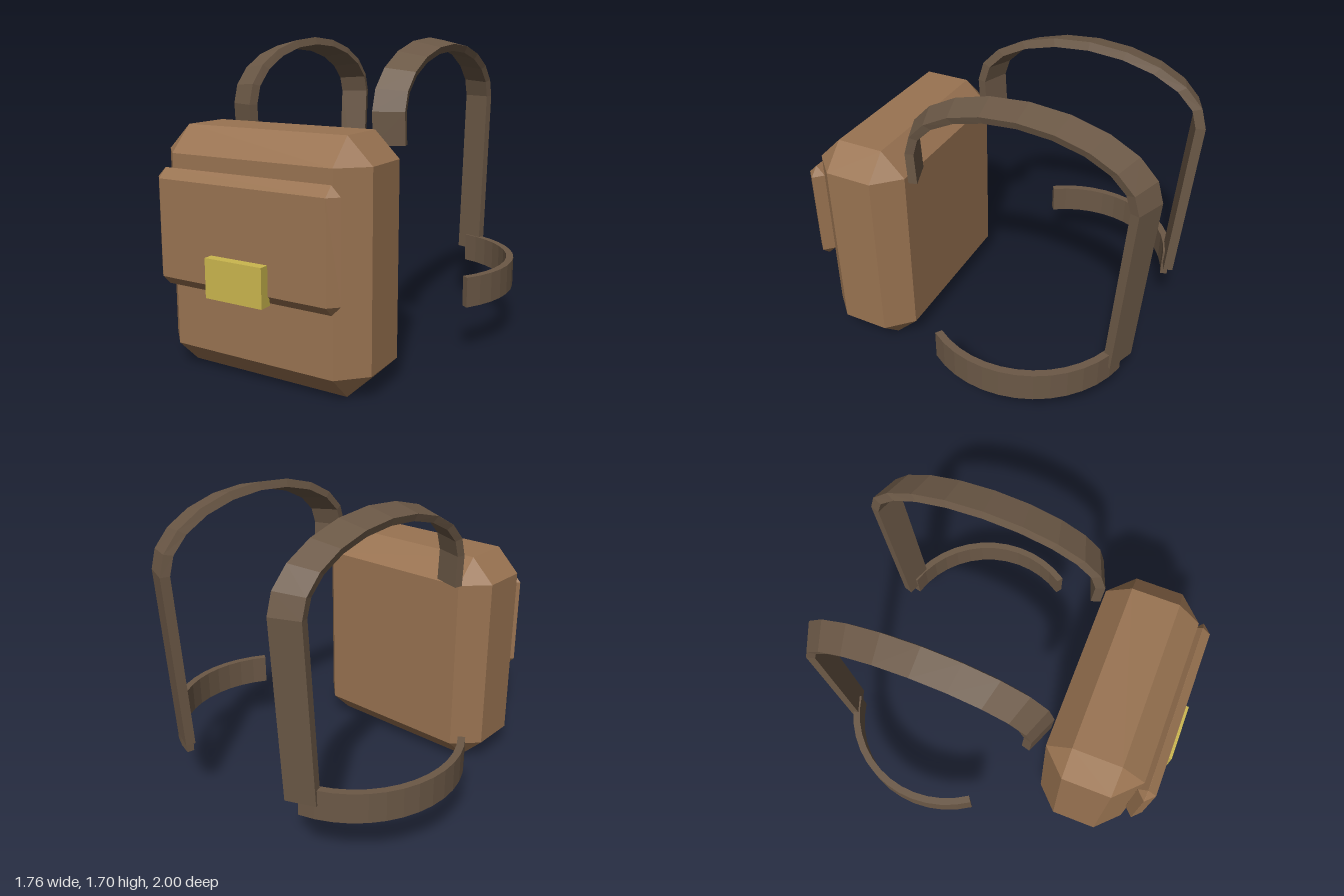
import * as THREE from 'three';
import { ConvexGeometry } from 'three/addons/geometries/ConvexGeometry.js';

// Box with flat chamfers on every edge; centred on the origin
function chamferBox(w, h, d, c) {
  const pts = [];
  for (const x of [-1, 1]) for (const y of [-1, 1]) for (const z of [-1, 1]) {
    const a = w / 2, b = h / 2, e = d / 2;
    pts.push(new THREE.Vector3(x * a, y * (b - c), z * (e - c)));
    pts.push(new THREE.Vector3(x * (a - c), y * b, z * (e - c)));
    pts.push(new THREE.Vector3(x * (a - c), y * (b - c), z * e));
  }
  return new ConvexGeometry(pts);
}

// Capped band through four-cornered rings; side -1 mirrors it in x
function band(rings, side) {
  const pos = [];
  const tri = (a, b, c) => {
    for (const p of side > 0 ? [a, b, c] : [a, c, b]) pos.push(side * p[0], p[1], p[2]);
  };
  const quad = (a, b, c, d) => { tri(a, b, c); tri(a, c, d); };
  for (let i = 0; i < rings.length - 1; i++) {
    for (let j = 0; j < 4; j++) {
      const k = (j + 1) % 4;
      quad(rings[i][j], rings[i][k], rings[i + 1][k], rings[i + 1][j]);
    }
  }
  const s = rings[0], e = rings[rings.length - 1];
  quad(s[3], s[2], s[1], s[0]);
  quad(e[0], e[1], e[2], e[3]);
  const g = new THREE.BufferGeometry();
  g.setAttribute('position', new THREE.Float32BufferAttribute(pos, 3));
  g.computeVertexNormals();
  return g;
}

// Tilted strap section: x, inset along z, inset along y
const strapSection = [[0.378, 0, 0], [0.53, 0.062, 0.035], [0.518, 0.107, 0.073], [0.362, 0.05, 0.043]];

function shoulderStrapRings() {
  const ring = (z, y, c, s) => strapSection.map(([x, dz, dy]) => [x, y - dy * s, z - dz * c]);
  const rings = [ring(0.33, 1.165, 1, 0)];
  for (let i = 0; i <= 10; i++) {
    const t = (i / 10) * Math.PI, c = Math.cos(t), s = Math.sin(t);
    rings.push(ring(-0.33 + 0.67 * c, 1.335 + 0.36 * s, c, s));
  }
  rings.push(ring(-0.94, 0.365, -1, 0));
  return rings;
}

function waistStrapRings() {
  const rings = [], n = 13;
  for (let i = 0; i <= n; i++) {
    const t = THREE.MathUtils.degToRad(-77 + (112 * i) / n);
    rings.push([[0.545, 0.285], [0.585, 0.285], [0.585, 0.45], [0.545, 0.45]].map(
      ([r, y]) => [0.297 + r * Math.cos(t), y, -0.33 + r * Math.sin(t)]));
  }
  return rings;
}

export function createModel() {
  const mat = (name, color) => {
    const m = new THREE.MeshStandardMaterial({ color });
    m.name = name;
    return m;
  };
  const leather = mat('brown leather', 0x997351);
  const strap = mat('dark strap', 0x6b5846);
  const brass = mat('brass', 0xcab64e);

  const group = new THREE.Group();
  group.name = 'backpack';
  const add = (name, geometry, material, x = 0, y = 0, z = 0) => {
    const mesh = new THREE.Mesh(geometry, material);
    mesh.name = name;
    mesh.position.set(x, y, z);
    group.add(mesh);
  };

  // Bag, front pocket and clasp
  add('bagBody', chamferBox(1.196, 1.265, 0.53, 0.133), leather, 0, 0.6325, 0.6);
  add('frontPocket', chamferBox(1.06, 0.6, 0.1, 0.0495), leather, 0, 0.765, 0.9);
  add('clasp', new THREE.BoxGeometry(0.33, 0.2, 0.065), brass, 0, 0.567, 0.9675);

  // Straps on both sides
  for (const [label, side] of [['left', 1], ['right', -1]]) {
    add(label + 'ShoulderStrap', band(shoulderStrapRings(), side), strap);
    add(label + 'WaistStrap', band(waistStrapRings(), side), strap);
  }
  return group;
}
